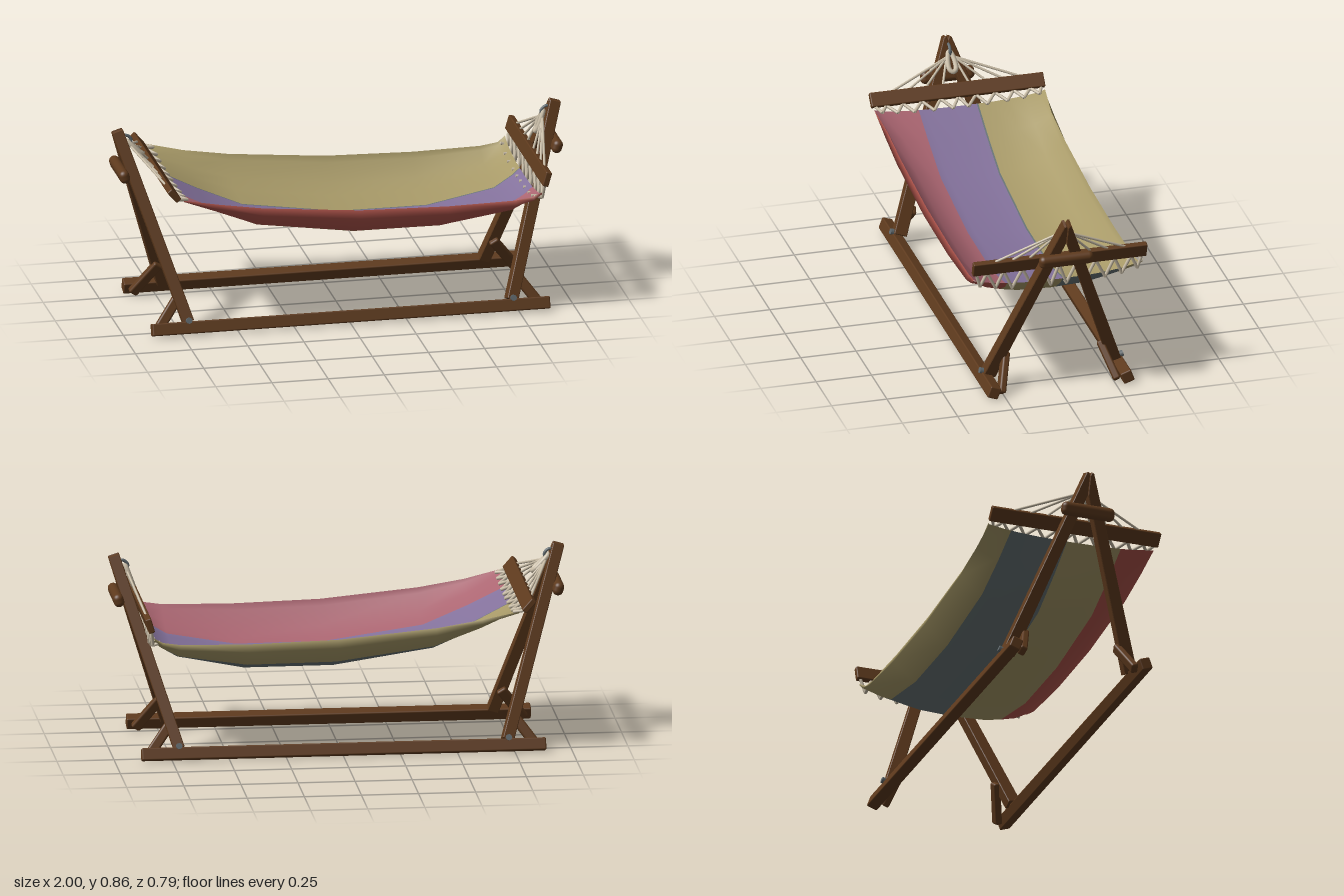
import * as THREE from 'three';
import { RoundedBoxGeometry } from 'three/addons/geometries/RoundedBoxGeometry.js';

const mat = (name, color) => {
  const m = new THREE.MeshStandardMaterial({ color });
  m.name = name;
  return m;
};
const V = (x, y, z) => new THREE.Vector3(x, y, z);

// Fabric: lengthwise stations [x, rim height, lowest height]
const STATIONS = [[-0.76, 0.652, 0.622], [-0.6, 0.617, 0.53], [-0.4, 0.585, 0.433], [0.03, 0.545, 0.367],
  [0.42, 0.535, 0.367], [0.72, 0.54, 0.433], [0.8, 0.552, 0.49], [0.835, 0.575, 0.527]];
// Cross-sections [|z|, rise share]; the rim rolls inward between the ends
const UNDER = [[0, 0], [0.15, 0.06], [0.22, 0.18], [0.295, 0.36], [0.383, 0.8], [0.386, 1]];
const UPPER = [[0, 0.09], [0.15, 0.15], [0.22, 0.25], [0.295, 0.44], [0.36, 0.84], [0.386, 1]];
const RIM_INSET = 0.016;

function rise(profile, z) {
  const a = Math.abs(z);
  const i = profile.findIndex(([end], n) => n > 0 && a <= end);
  const [z0, r0] = profile[i - 1], [z1, r1] = profile[i];
  return r0 + (r1 - r0) * (a - z0) / (z1 - z0);
}
const fabricY = (st, z, profile = UNDER) => st[2] + (st[1] - st[2]) * rise(profile, z);

// One face of the cloth, striped along its length; stripes run from -z to +z
function clothFace(profile, bounds, materials) {
  const zs = [...new Set([...profile.flatMap(([z]) => [z, -z]), ...bounds].map(z => z + 0))].sort((a, b) => a - b);
  const pos = [], idx = [], n = zs.length;
  STATIONS.forEach((st, i) => zs.forEach((z, j) => {
    const inside = i > 0 && i < STATIONS.length - 1;
    const rim = inside && (j === 0 || j === n - 1);
    pos.push(st[0], fabricY(st, z, inside ? profile : UNDER), rim ? z - Math.sign(z) * RIM_INSET : z);
  }));
  const geo = new THREE.BufferGeometry();
  let start = 0, stripe = 0;
  for (let j = 0; j < n - 1; j++) {
    if (bounds.includes(zs[j])) {
      geo.addGroup(start, idx.length - start, stripe++);
      start = idx.length;
    }
    for (let i = 0; i < STATIONS.length - 1; i++) {
      const a = i * n + j, b = a + 1, c = a + n, d = c + 1;
      if (profile === UNDER) idx.push(a, c, b, b, c, d);
      else idx.push(a, b, c, b, d, c);
    }
  }
  geo.addGroup(start, idx.length - start, stripe);
  geo.setAttribute('position', new THREE.Float32BufferAttribute(pos, 3));
  geo.setIndex(idx);
  geo.computeVertexNormals();
  return new THREE.Mesh(geo, materials);
}

// Leg outline [z, length along the leg], mitred where the pair meets at z = 0
const LEG = [[0.312, 0.016], [0.257, -0.004], [0.001, 0.75], [0.001, 0.838], [0.007, 0.852], [0.017, 0.849]];
const LEAN = 0.308;

function legGeometry(k) {
  const shape = new THREE.Shape(LEG.map(([z, l]) => new THREE.Vector2(k * z, l)));
  const geo = new THREE.ExtrudeGeometry(shape, {
    depth: 0.044, bevelEnabled: true, bevelSegments: 1, bevelSize: 0.003, bevelOffset: -0.003, bevelThickness: 0.003,
  });
  return geo.translate(0, 0, -0.022).rotateY(-Math.PI / 2);
}

export function createModel() {
  const model = new THREE.Group();
  const wood = mat('wood', 0x5e3a1d);
  const cordMat = mat('cord', 0xc8bca6);
  const metal = mat('metal', 0x5f686c);
  const gold = mat('gold cloth', 0xa89a68);
  const purple = mat('purple cloth', 0x84729c);
  const pink = mat('rose cloth', 0xac6672);
  const red = mat('red cloth', 0xb0544b);
  const slate = mat('slate cloth', 0x687476);

  const add = (name, geo, material, parent = model) => {
    const m = new THREE.Mesh(geo, material);
    m.name = name;
    parent.add(m);
    return m;
  };

  // Squared timber from a to b; w is its width towards x, d its depth
  function beam(name, a, b, w, d, r) {
    const dir = b.clone().sub(a), len = dir.length();
    dir.normalize();
    const x = V(1, 0, 0).addScaledVector(dir, -dir.x).normalize();
    const z = x.clone().cross(dir);
    const m = add(name, new RoundedBoxGeometry(w, len, d, 2, r), wood);
    m.quaternion.setFromRotationMatrix(new THREE.Matrix4().makeBasis(x, dir, z));
    m.position.copy(a).add(b).multiplyScalar(0.5);
  }

  // Round rod from a to b
  function rod(name, a, b, r, material, parent = model) {
    const dir = b.clone().sub(a);
    const m = add(name, new THREE.CylinderGeometry(r, r, dir.length(), 8), material, parent);
    m.position.copy(a).add(b).multiplyScalar(0.5);
    m.quaternion.setFromUnitVectors(V(0, 1, 0), dir.normalize());
  }

  // Base rails, tilted with the legs
  for (const k of [1, -1]) {
    const rail = add('baseRail', new RoundedBoxGeometry(1.77, 0.054, 0.05, 2, 0.006), wood);
    rail.position.set(0, 0.036, k * 0.301);
    rail.rotation.x = -k * 0.35;
  }

  for (const s of [1, -1]) {
    // Slanted legs, foot braces and bolts
    for (const k of [1, -1]) {
      const leg = add('leg', legGeometry(k), wood);
      leg.position.set(s * 0.717, 0.05, 0);
      leg.rotation.z = -s * LEAN;
      beam('footBrace', V(s * 0.852, 0.016, k * 0.262), V(s * 0.744, 0.158, k * 0.213), 0.045, 0.032, 0.009);
      rod('footBolt', V(s * 0.722, 0.062, k * 0.28), V(s * 0.722, 0.076, k * 0.324), 0.014, metal);
    }

    // Rounded cross tie outside the legs
    const tie = add('crossTie', new RoundedBoxGeometry(0.046, 0.06, 0.244, 5, 0.0225), wood);
    tie.position.set(s * 0.963, 0.68, 0);
    tie.rotation.z = -s * LEAN;

    // Spreader bar
    const bar = s > 0 ? V(0.857, 0.633, 0) : V(-0.803, 0.678, 0);
    const up = s > 0 ? V(0.28, 0.96, 0) : V(-0.66, 0.75, 0);
    const spreader = add('spreaderBar', new RoundedBoxGeometry(0.027, 0.066, 0.785, 2, 0.005), wood);
    spreader.position.copy(bar);
    spreader.rotation.z = Math.atan2(-up.x, up.y);

    // Hook at the head of the frame
    const apex = V(s * 0.915, 0.795, 0);
    const hook = new THREE.CatmullRomCurve3([V(s * 0.955, 0.835, 0), V(s * 0.93, 0.835, 0),
      V(s * 0.912, 0.815, 0), V(s * 0.918, 0.797, 0), V(s * 0.93, 0.802, 0)]);
    add('hook', new THREE.TubeGeometry(hook, 14, 0.007, 8), metal);

    const cords = new THREE.Group();
    cords.name = 'cords';
    model.add(cords);
    const barTop = bar.clone().addScaledVector(up, 0.025);
    const barLow = bar.clone().addScaledVector(up, -0.03);

    // Long rope loop hanging from the hook, lying across the frame
    const drop = barTop.clone().sub(apex).normalize();
    const loop = new THREE.CatmullRomCurve3([[-0.02, 0], [0, 0.01], [0.035, 0.016], [0.066, 0.014],
      [0.078, 0], [0.066, -0.014], [0.035, -0.016], [0, -0.01]]
      .map(([t, z]) => apex.clone().addScaledVector(drop, t).setZ(z)), true);
    add('ropeLoop', new THREE.TubeGeometry(loop, 32, 0.011, 8, true), cordMat, cords);

    // Cords gathered from the loop to the spreader
    for (const z of [0.3, 0.22, 0.14, 0.06]) for (const k of [1, -1]) {
      rod('fanCord', apex.clone().add(V(0, -0.008, k * 0.016)), barTop.clone().setZ(k * z), 0.0055, cordMat, cords);
    }

    // Zigzag lacing from the spreader, hooked over the hem of the cloth
    const n = STATIONS.length;
    const [end, inner] = s > 0 ? [STATIONS[n - 1], STATIONS[n - 2]] : [STATIONS[0], STATIONS[1]];
    const hem = [0.035, 0.12, 0.21, 0.285, 0.355], eye = [0, 0.08, 0.165, 0.25, 0.325, 0.375];
    for (const k of [1, -1]) hem.forEach((z, i) => {
      const low = s > 0 ? V(0.841, fabricY(end, z) - 0.02, k * z) : V(-0.737, fabricY(end, z) + 0.004, k * z);
      for (const e of [eye[i], eye[i + 1]]) {
        rod('lacing', barLow.clone().setZ(k * e), low, 0.0072, cordMat, cords);
      }
      if (s > 0) rod('hemStitch', low, V(0.808, fabricY(inner, z, UPPER) + 0.012, k * z), 0.0072, cordMat, cords);
    });
  }

  // Striped cloth bed
  const upper = clothFace(UPPER, [-0.084, -0.077, 0.185], [gold, slate, purple, pink]);
  upper.name = 'clothTop';
  const lower = clothFace(UNDER, [-0.28, -0.02, 0.23], [gold, slate, gold, red]);
  lower.name = 'clothUnderside';
  model.add(upper, lower);

  return model;
}
